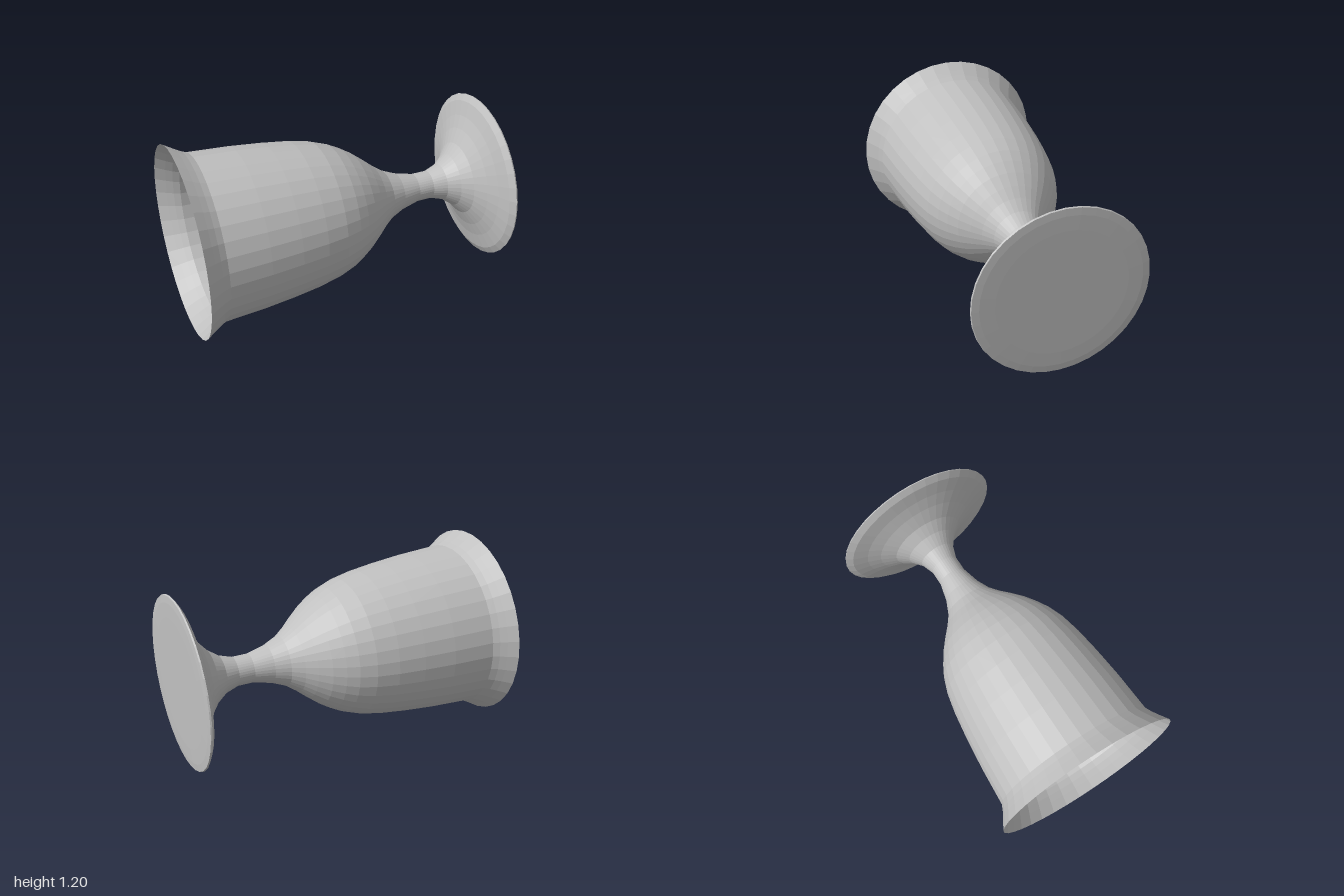
import * as THREE from 'three';

const SEGMENTS = 36;

// Profiles as [position along x, radius]
const LIP = [[-1, 0.6], [-0.94, 0.563], [-0.9, 0.54], [-0.86, 0.522]];
const BOWL = [
  [-0.86, 0.522], [-0.6, 0.506], [-0.4, 0.486], [-0.235, 0.464], [-0.1, 0.436],
  [0, 0.4], [0.07, 0.363], [0.14, 0.318], [0.21, 0.262], [0.27, 0.21], [0.34, 0.159],
];
const STEM = [[0.34, 0.159], [0.43, 0.12], [0.55, 0.09], [0.65, 0.09], [0.735, 0.118], [0.805, 0.17]];
const FOOT = [
  [0.805, 0.17], [0.86, 0.235], [0.905, 0.325], [0.935, 0.405], [0.96, 0.497], [0.985, 0.538],
  [0.994, 0.534], [0.998, 0.49], [1, 0.4], [1, 0],
];

export function createModel() {
  const grey = new THREE.MeshStandardMaterial({ color: 0xc0c0c0, flatShading: true, side: THREE.DoubleSide });
  grey.name = 'grey';

  const goblet = new THREE.Group();
  goblet.name = 'goblet';

  // Turns a profile around the horizontal x axis
  const turn = (name, profile) => {
    const points = profile.map(([x, r]) => new THREE.Vector2(r, x));
    const geometry = new THREE.LatheGeometry(points, SEGMENTS);
    geometry.rotateZ(-Math.PI / 2);
    const mesh = new THREE.Mesh(geometry, grey);
    mesh.name = name;
    goblet.add(mesh);
  };

  turn('lip', LIP);
  turn('bowl', BOWL);
  turn('stem', STEM);
  turn('foot', FOOT);
  // Closes the bowl where it meets the stem
  turn('bowlFloor', [[0.43, 0.12], [0.44, 0]]);

  // The goblet lies on its side, resting on the lip
  goblet.position.y = 0.6;
  const model = new THREE.Group();
  model.name = 'lyingGoblet';
  model.add(goblet);
  return model;
}
